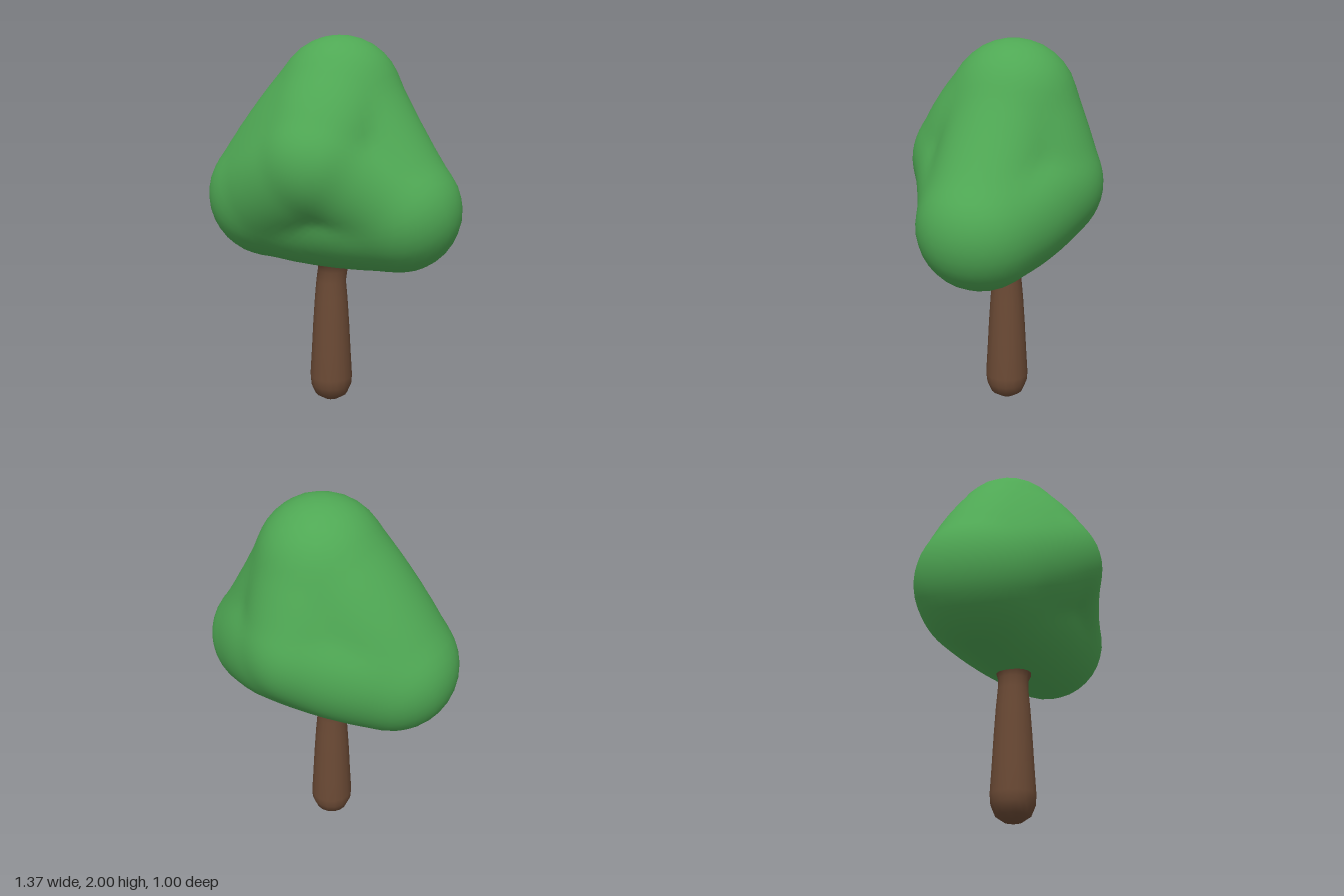
import * as THREE from 'three';
import { mergeVertices } from 'three/addons/utils/BufferGeometryUtils.js';

const V = (x, y, z) => new THREE.Vector3(x, y, z);

// Foliage lobes: centre and radius
const lobes = {
  left: { p: V(0.36, 1.12, 0.11), r: 0.314 },
  right: { p: V(-0.34, 1.155, -0.09), r: 0.334 },
  top: { p: V(0.035, 1.67, -0.035), r: 0.323 },
  front: { p: V(-0.05, 1.37, 0.19), r: 0.303 },
  back: { p: V(0.09, 1.28, -0.18), r: 0.313 },
};

// Skins stretched over three lobes; the number is how far each sags inward
// (negative bulges outward)
const skins = [
  ['right', 'top', 'front', -0.018],
  ['right', 'top', 'back', -0.008],
  ['left', 'top', 'front', 0.018],
  ['left', 'top', 'back', 0.005],
  ['left', 'right', 'front', 0.012],
  ['left', 'right', 'back', -0.025],
];

const CENTRE = V(0, 1.25, 0);
const STEPS = 14;

// Fill one skin with closely spaced spheres, measured from the crown centre
function skinSpheres([m, n, o, sag]) {
  const [A, B, C] = [lobes[m], lobes[n], lobes[o]];
  const spheres = [];
  for (let i = 0; i <= STEPS; i++) {
    for (let j = 0; j <= STEPS - i; j++) {
      const a = i / STEPS, b = j / STEPS, c = 1 - a - b;
      const p = V(0, 0, 0).addScaledVector(A.p, a).addScaledVector(B.p, b).addScaledVector(C.p, c).sub(CENTRE);
      const r = a * A.r + b * B.r + c * C.r - sag * 4 * (a * b + b * c + c * a);
      spheres.push({ p, k: r * r - p.lengthSq() });
    }
  }
  return spheres;
}

// Farthest point where a ray from the crown centre leaves the spheres
function reach(spheres, dir) {
  let far = 0;
  for (const { p, k } of spheres) {
    const along = dir.dot(p);
    const disc = along * along + k;
    if (disc > 0) far = Math.max(far, along + Math.sqrt(disc));
  }
  return far;
}

function smoothMax(a, b, k) {
  const h = Math.max(k - Math.abs(a - b), 0) / k;
  return Math.max(a, b) + h * h * k * 0.25;
}

// Push each vertex of a sphere out to the blended skins
function foliageGeometry() {
  let geo = new THREE.IcosahedronGeometry(1, 12);
  geo.deleteAttribute('uv');
  geo.deleteAttribute('normal');
  geo = mergeVertices(geo, 1e-4);
  const patches = skins.map(skinSpheres);
  const pos = geo.attributes.position;
  const dir = V(0, 0, 0);
  for (let i = 0; i < pos.count; i++) {
    dir.fromBufferAttribute(pos, i).normalize();
    const far = patches.map((s) => reach(s, dir)).reduce((a, b) => smoothMax(a, b, 0.02));
    dir.multiplyScalar(far).add(CENTRE);
    pos.setXYZ(i, dir.x, dir.y, dir.z);
  }
  geo.computeVertexNormals();
  return geo;
}

// Rounded, tapering trunk that flares into the crown
function trunkGeometry() {
  const profile = [
    [0, 0.005], [0.045, 0.015], [0.09, 0.045], [0.113, 0.1], [0.117, 0.15],
    [0.108, 0.3], [0.1, 0.45], [0.09, 0.6], [0.081, 0.7], [0.081, 0.76],
    [0.093, 0.8], [0.115, 0.83], [0.11, 0.87], [0, 0.89],
  ].map(([r, y]) => new THREE.Vector2(r, y));
  const geo = new THREE.LatheGeometry(profile, 16);
  const pos = geo.attributes.position;
  for (let i = 0; i < pos.count; i++) {
    const lean = 0.03 * THREE.MathUtils.smoothstep(pos.getY(i), 0.72, 0.84);
    pos.setX(i, pos.getX(i) - 0.006 + lean);
  }
  return geo;
}

export function createModel() {
  const leafGreen = new THREE.MeshStandardMaterial({ color: 0x4fa854 });
  leafGreen.name = 'leafGreen';
  const barkBrown = new THREE.MeshStandardMaterial({ color: 0x6b4a35 });
  barkBrown.name = 'barkBrown';

  const tree = new THREE.Group();
  tree.name = 'tree';
  const trunk = new THREE.Mesh(trunkGeometry(), barkBrown);
  trunk.name = 'trunk';
  const foliage = new THREE.Mesh(foliageGeometry(), leafGreen);
  foliage.name = 'foliage';
  tree.add(trunk, foliage);
  return tree;
}
